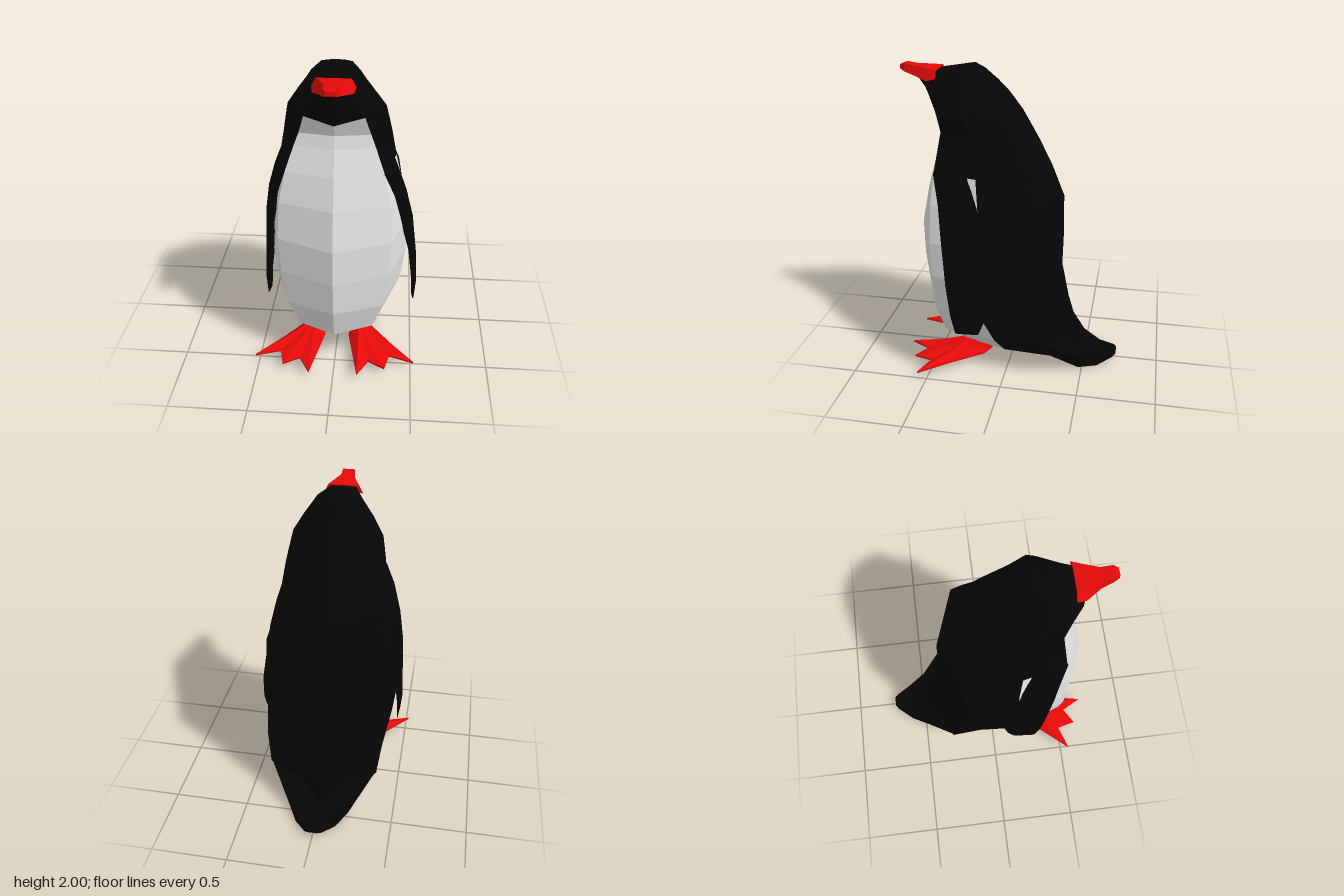
import * as THREE from 'three';

const mat = (name, color) => {
  const m = new THREE.MeshStandardMaterial({ color });
  m.name = name;
  return m;
};
const V = q => new THREE.Vector3(...q);

// Closed, faceted loft through rings of [x, y, z] points, with fan caps.
// paint(section, column) gives a material index; caps are sections -1 and n.
function loft(rings, paint = () => 0) {
  const n = rings[0].length;
  const tris = [];
  const add = (a, b, c, p, normal) => tris.push({
    v: [a, b, c], p,
    normal: normal ?? V(b).sub(V(a)).cross(V(c).sub(V(a))).normalize(),
  });
  for (let i = 0; i < rings.length - 1; i++) {
    for (let j = 0; j < n; j++) {
      const k = (j + 1) % n, p = paint(i, j);
      const a = rings[i][j], b = rings[i][k], c = rings[i + 1][k], d = rings[i + 1][j];
      // one shared normal per four-sided facet; diagonals mirror across the middle
      const normal = V(c).sub(V(a)).cross(V(d).sub(V(b))).normalize();
      if (j < n / 2) { add(a, b, c, p, normal); add(a, c, d, p, normal); }
      else { add(a, b, d, p, normal); add(b, c, d, p, normal); }
    }
  }
  const mid = r => [0, 1, 2].map(c => r.reduce((s, q) => s + q[c], 0) / n);
  const first = rings[0], last = rings[rings.length - 1];
  const c0 = mid(first), c1 = mid(last);
  for (let j = 0; j < n; j++) {
    const k = (j + 1) % n;
    add(first[k], first[j], c0, paint(-1, j));
    add(last[j], last[k], c1, paint(rings.length - 1, j));
  }
  // turn every face outward
  const vol = tris.reduce((s, t) => s + V(t.v[0]).dot(V(t.v[1]).cross(V(t.v[2]))), 0);
  const sign = vol < 0 ? -1 : 1;
  if (sign < 0) tris.forEach(t => t.v.reverse());
  tris.sort((a, b) => a.p - b.p);
  const normals = tris.flatMap(t => t.v.flatMap(() => t.normal.toArray().map(c => c * sign)));
  const geo = new THREE.BufferGeometry();
  geo.setAttribute('position', new THREE.Float32BufferAttribute(tris.flatMap(t => t.v.flat()), 3));
  geo.setAttribute('normal', new THREE.Float32BufferAttribute(normals, 3));
  tris.forEach((t, i) => {
    const g = geo.groups[geo.groups.length - 1];
    if (g && g.materialIndex === t.p) g.count += 3;
    else geo.addGroup(i * 3, 3, t.p);
  });
  return geo;
}

// Body rings: y, front z, ridge x/z, side x/z, back corner x/z, back z,
// dip of the middle (positive at the front, negative at the back)
const BODY = [
  [0.13, 0.33, 0.16, 0.29, 0.25, 0.02, 0.27, -0.29, -0.475, -0.045],
  [0.25, 0.54, 0.24, 0.43, 0.34, 0.07, 0.365, -0.30, -0.44, 0],
  [0.45, 0.59, 0.30, 0.475, 0.415, 0.14, 0.39, -0.26, -0.38, 0],
  [0.69, 0.62, 0.335, 0.48, 0.445, 0.15, 0.39, -0.22, -0.33, 0],
  [0.93, 0.625, 0.35, 0.48, 0.44, 0.15, 0.39, -0.20, -0.335, 0],
  [1.18, 0.575, 0.335, 0.47, 0.405, 0.15, 0.38, -0.20, -0.33, 0],
  [1.38, 0.52, 0.295, 0.45, 0.36, 0.17, 0.31, -0.13, -0.25, 0],
  [1.54, 0.465, 0.24, 0.43, 0.33, 0.18, 0.25, -0.06, -0.17, 0],
  [1.62, 0.455, 0.21, 0.42, 0.315, 0.21, 0.23, -0.02, -0.125, 0],
  [1.74, 0.50, 0.175, 0.46, 0.29, 0.26, 0.19, 0.05, -0.055, 0.04],
  [1.85, 0.57, 0.12, 0.52, 0.22, 0.30, 0.14, 0.12, 0.03, 0],
  [1.92, 0.62, 0.07, 0.54, 0.17, 0.31, 0.10, 0.17, 0.10, 0],
  [1.965, 0.50, 0.08, 0.48, 0.14, 0.31, 0.08, 0.19, 0.155, 0],
  [2.0, 0.28, 0.05, 0.28, 0.09, 0.26, 0.05, 0.24, 0.23, 0],
];
const bodyRing = ([y, zf, rx, rz, sx, sz, bx, bz, zb, dip]) => [
  [0, y - Math.max(dip, 0), zf], [rx, y, rz], [sx, y, sz], [bx, y, bz],
  [0, y + Math.min(dip, 0), zb], [-bx, y, bz], [-sx, y, sz], [-rx, y, rz],
];
// white belly runs up to the throat and narrows above the chest
const bodyPaint = (i, j) => {
  const centre = j === 0 || j === 7, flank = j === 1 || j === 6;
  return (centre && i < 9) || (flank && i < 6) ? 1 : 0;
};

// Flipper sections: y, outer x, back z, front z, front x, inner x
const WING = [
  [1.52, 0.315, 0.12, 0.39, 0.25, 0.20],
  [1.38, 0.37, 0.06, 0.455, 0.295, 0.24],
  [1.20, 0.425, 0.02, 0.41, 0.365, 0.31],
  [1.00, 0.465, 0.00, 0.385, 0.41, 0.37],
  [0.70, 0.49, 0.04, 0.35, 0.455, 0.44],
  [0.50, 0.497, 0.09, 0.32, 0.475, 0.465],
  [0.38, 0.487, 0.14, 0.29, 0.48, 0.47],
];
// the pair swings slightly toward the left near the tips
const wingRing = side => ([y, xo, zb, zf, xf, xi]) => {
  const zm = (zb + zf) / 2, lean = 0.022 * THREE.MathUtils.clamp((1.25 - y) * 2, 0, 1);
  return [[xf, zf], [xo, zm + 0.06], [(xo + xi) / 2, zb], [xi, zm]]
    .map(([x, z]) => [side * x + lean, y, z]);
};

// Webbed foot outline (x, z): heel, inner toe, middle toe, outer toe
const FOOT = [
  [0.12, 0.13], [0.08, 0.30], [0.155, 0.69], [0.225, 0.56], [0.33, 0.625],
  [0.36, 0.50], [0.52, 0.555], [0.37, 0.38], [0.21, 0.17],
];
const footRings = side => {
  const ring = (y, f) => FOOT.map(p => { const [x, z] = f(p); return [side * x, y, z]; });
  const ankle = ([x, z]) => {
    const a = Math.atan2(z - 0.25, x - 0.15);
    return [0.15 + 0.055 * Math.cos(a), 0.24 + 0.085 * Math.sin(a)];
  };
  const instep = p => ankle(p).map((c, i) => c + (p[i] - c) * 0.4);
  return [ring(0.052, p => p), ring(0.065, p => p), ring(0.1, instep), ring(0.143, ankle)];
};

// Four-sided section across z: top half width, bottom half width, top y, bottom y
const slab = ([z, wt, wb, yt, yb]) => [[wt, yt, z], [-wt, yt, z], [-wb, yb, z], [wb, yb, z]];

export function createModel() {
  const model = new THREE.Group();
  const black = mat('black plumage', 0x060606);
  const white = mat('white plumage', 0xeeeeee);
  const red = mat('red skin', 0xe60a0a);
  const part = (name, geo, material) => {
    const mesh = new THREE.Mesh(geo, material);
    mesh.name = name;
    model.add(mesh);
  };

  part('body', loft(BODY.map(bodyRing), bodyPaint), [black, white]);

  // wide root blends into the lower back
  part('tail', loft([
    [-0.29, 0.365, 0.27, 0.26, 0.132],
    [-0.48, 0.195, 0.20, 0.085, 0.015],
    [-0.60, 0.12, 0.135, 0.05, 0.002],
    [-0.70, 0.05, 0.055, 0.068, 0.03],
    [-0.72, 0.03, 0.03, 0.065, 0.045],
  ].map(slab)), black);

  part('beak', loft([
    [0.475, 0.10, 0.125, 1.975, 1.925],
    [0.53, 0.075, 0.115, 1.982, 1.91],
    [0.62, 0.04, 0.06, 1.99, 1.93],
    [0.69, 0.04, 0.04, 2.0, 1.95],
    [0.72, 0.025, 0.025, 1.99, 1.965],
  ].map(slab)), red);

  for (const [label, side] of [['left', 1], ['right', -1]]) {
    part(label + 'Flipper', loft(WING.map(wingRing(side))), black);
    part(label + 'Foot', loft(footRings(side)), red);
  }
  return model;
}
